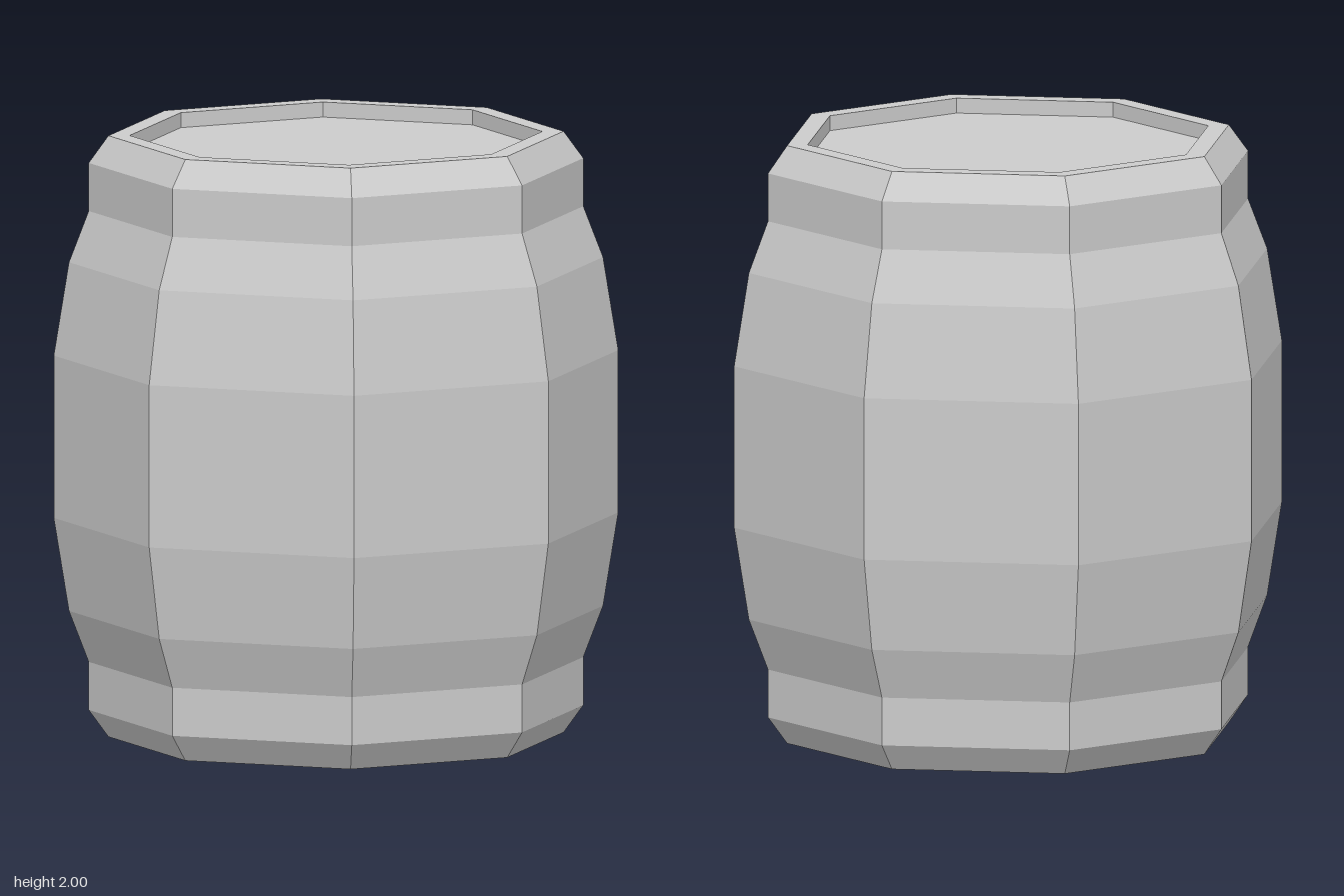
import * as THREE from 'three';

const SIDES = 8;

export function createModel() {
  const group = new THREE.Group();
  group.name = 'barrel';
  const material = new THREE.MeshStandardMaterial({ color: 0xcccccc, flatShading: true });

  // Turns a [radius, height] profile, listed bottom to top, into a faceted part
  const addTurned = (name, profile) => {
    const points = profile.map(([r, y]) => new THREE.Vector2(r, y));
    const mesh = new THREE.Mesh(new THREE.LatheGeometry(points, SIDES), material);
    mesh.name = name;
    group.add(mesh);
  };

  // Lower half of the outer wall; the upper half mirrors it about y = 1
  const lower = [[0.75, 0], [0.815, 0.09], [0.815, 0.25], [0.88, 0.42], [0.93, 0.73]];
  const upper = lower.map(([r, y]) => [r, 2 - y]).reverse();

  // Closed base, bulging staves and end bands
  addTurned('body', [[0, 0], ...lower, ...upper]);

  // Flat rim, short inner wall and sunken lid
  addTurned('rimAndLid', [[0.75, 2], [0.68, 2], [0.68, 1.95], [0, 1.95]]);

  return group;
}
